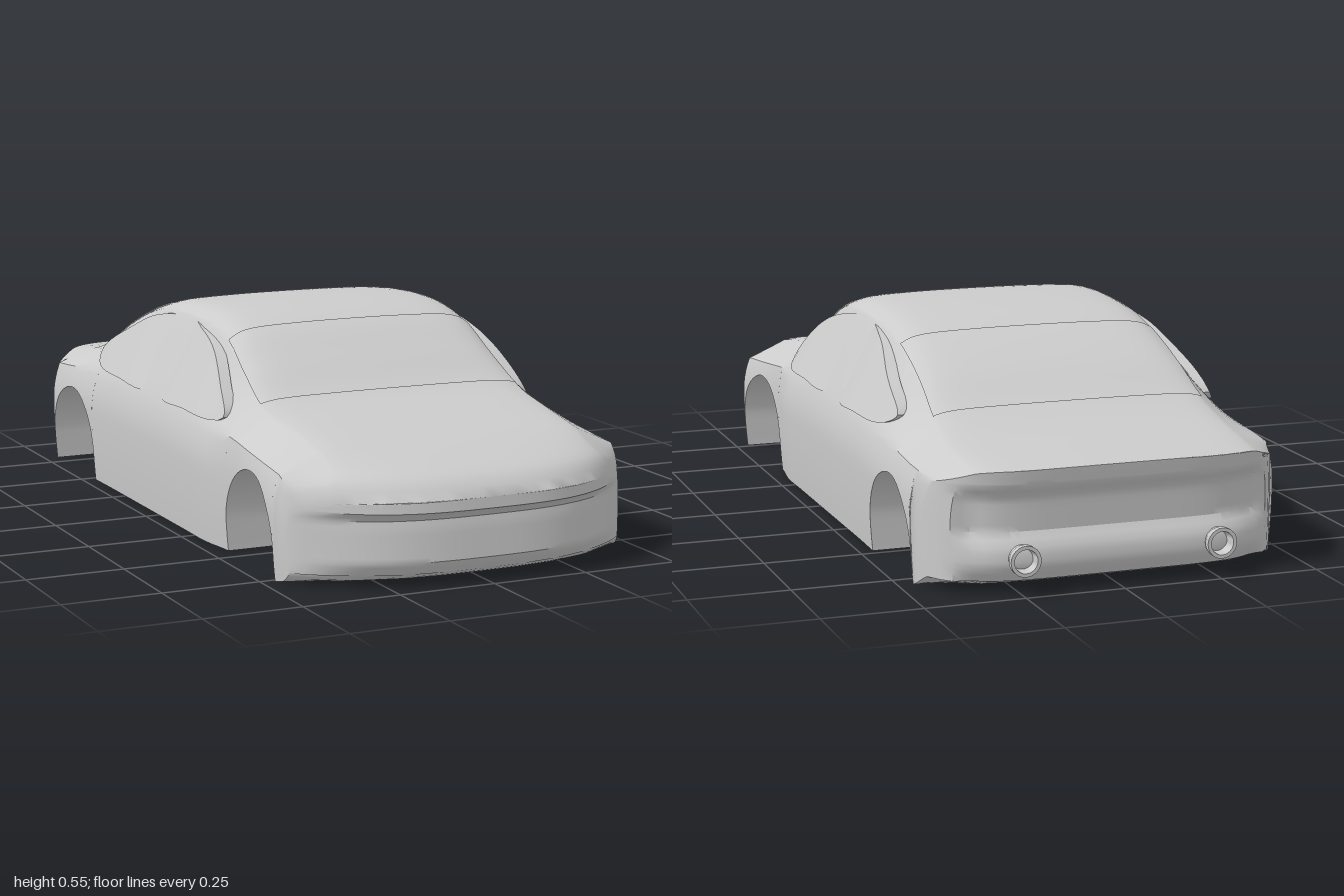
import * as THREE from 'three';
import { toCreasedNormals } from 'three/addons/utils/BufferGeometryUtils.js';

const V2 = (x, y) => new THREE.Vector2(x, y);
const material = new THREE.MeshStandardMaterial({ color: 0xcccccc, side: THREE.DoubleSide });

// Body stations: z, half width, shoulder x, shoulder y, roof edge x, roof edge y, centre height, sill height
const KEYS = [
  [1.0, 0.455, 0.44, 0.195, 0.39, 0.212, 0.222, 0.04],
  [0.97, 0.46, 0.445, 0.225, 0.385, 0.248, 0.26, 0.026],
  [0.9, 0.465, 0.45, 0.25, 0.37, 0.277, 0.29, 0.015],
  [0.76, 0.474, 0.455, 0.27, 0.37, 0.308, 0.326, 0.01],
  [0.6, 0.465, 0.45, 0.285, 0.37, 0.335, 0.354, 0.01],
  [0.45, 0.457, 0.445, 0.3, 0.375, 0.36, 0.382, 0.01],
  [0.32, 0.472, 0.45, 0.31, 0.368, 0.412, 0.462, 0.01],
  [0.2, 0.472, 0.45, 0.315, 0.36, 0.47, 0.532, 0.01],
  [0.05, 0.472, 0.45, 0.32, 0.36, 0.505, 0.562, 0.01],
  [-0.2, 0.472, 0.45, 0.32, 0.358, 0.5, 0.554, 0.01],
  [-0.35, 0.472, 0.45, 0.32, 0.358, 0.47, 0.52, 0.01],
  [-0.5, 0.474, 0.45, 0.315, 0.362, 0.42, 0.46, 0.01],
  [-0.63, 0.476, 0.453, 0.305, 0.37, 0.362, 0.388, 0.01],
  [-0.75, 0.475, 0.455, 0.295, 0.38, 0.327, 0.345, 0.01],
  [-0.9, 0.465, 0.445, 0.283, 0.375, 0.309, 0.323, 0.018],
  [-0.985, 0.45, 0.435, 0.275, 0.37, 0.3, 0.312, 0.04],
];
const WHEELS = [0.6, -0.64], WELL_Y = 0.085, WELL_R = 0.162;

// Bumper relief: [height, depth of recess]
const NOSE = [[0.04, 0.04], [0.07, 0.015], [0.15, 0.024], [0.178, 0.03], [0.194, 0], [0.23, 0.004]];
const TAIL = [[0.04, 0.03], [0.08, 0.005], [0.13, 0.012], [0.15, 0.035], [0.24, 0.03], [0.27, 0.006], [0.31, 0]];

function relief(table, y) {
  for (let i = 1; i < table.length; i++) {
    const [a, b] = [table[i - 1], table[i]];
    if (y <= b[0]) return THREE.MathUtils.mapLinear(Math.max(y, a[0]), a[0], b[0], a[1], b[1]);
  }
  return table[table.length - 1][1];
}

// Smooth interpolation of the station table
function keyAt(z) {
  const n = KEYS.length;
  let i = 0;
  while (i < n - 2 && z < KEYS[i + 1][0]) i++;
  const slope = (k, c) => {
    const a = KEYS[Math.max(k - 1, 0)], b = KEYS[Math.min(k + 1, n - 1)];
    return (b[c] - a[c]) / (b[0] - a[0]);
  };
  const a = KEYS[i], b = KEYS[i + 1], h = b[0] - a[0], t = (z - a[0]) / h;
  return a.map((v, c) => (2 * t ** 3 - 3 * t * t + 1) * v + (t ** 3 - 2 * t * t + t) * h * slope(i, c)
    + (3 * t * t - 2 * t ** 3) * b[c] + (t ** 3 - t * t) * h * slope(i + 1, c));
}

// Rounds both ends in plan and presses the bumper relief into them
function warp(x, y, z) {
  const ax = Math.abs(x);
  if (z > 0.765) {
    const w = (z - 0.765) / 0.235;
    z -= w * (0.2 * (ax / 0.46) ** 3 + relief(NOSE, y) * Math.max(0, 1 - (ax / 0.44) ** 4));
  } else if (z < -0.805) {
    const w = (-z - 0.805) / 0.18;
    z += w * (0.15 * (ax / 0.45) ** 6 + relief(TAIL, y) * (1 - THREE.MathUtils.smoothstep(ax, 0.36, 0.41)));
  }
  return [x, y, z];
}

// Upper half section, from the shoulder to the centre line
function upperCurve([, , xs, ys, xr, yr, top]) {
  const d = top - yr;
  return new THREE.SplineCurve([V2(xs, ys), V2(xr, yr), V2(xr * 0.93, yr + 0.57 * d),
    V2(xr * 0.77, yr + 0.88 * d), V2(xr * 0.4, yr + 0.98 * d), V2(0, top)]);
}

const FLOOR = [0, 0.1, 0.2, 0.3], SIDE_ROWS = 14, TOP_ROWS = 20;
function halfSection(z, bottom) {
  const key = keyAt(z), [, w, xs, ys] = key, mid = 0.65 * ys;
  const floorY = Math.max(0.025, key[7]);
  const pts = FLOOR.map((x) => V2(x, floorY));
  pts.push(V2(0.32, bottom));
  for (let k = 0; k <= SIDE_ROWS; k++) {
    const y = THREE.MathUtils.lerp(bottom, ys, k / SIDE_ROWS);
    pts.push(V2(y > mid ? w - (w - xs) * ((y - mid) / (ys - mid)) ** 2 : w - 0.01 * ((mid - y) / mid) ** 2, y));
  }
  return pts.concat(upperCurve(key).getPoints(TOP_ROWS).slice(1));
}

// Triangulates a grid of points; flip reverses the facing
function addGrid(out, rows, flip = false) {
  for (let i = 0; i + 1 < rows.length; i++) {
    for (let j = 0; j + 1 < rows[i].length; j++) {
      const a = rows[i][j], b = rows[i + 1][j], c = rows[i + 1][j + 1], d = rows[i][j + 1];
      out.push(...(flip ? [a, c, b, a, d, c] : [a, b, c, a, c, d]).flat());
    }
  }
}
function meshFrom(name, positions, crease = 0.6) {
  const geometry = new THREE.BufferGeometry();
  geometry.setAttribute('position', new THREE.Float32BufferAttribute(positions, 3));
  const mesh = new THREE.Mesh(toCreasedNormals(geometry, crease), material);
  mesh.name = name;
  return mesh;
}

function bodyShell() {
  // Stations run nose to tail, doubled where a wheel well starts and ends
  const stations = [];
  const run = (from, to, n) => {
    for (let i = 0; i <= n; i++) {
      const z = THREE.MathUtils.lerp(from, to, i / n);
      stations.push([z, keyAt(z)[7]]);
    }
  };
  const arch = (cz) => {
    for (let i = 0; i <= 24; i++) {
      const t = Math.PI * i / 24;
      stations.push([cz + WELL_R * Math.cos(t), WELL_Y + WELL_R * Math.sin(t)]);
    }
  };
  run(1, WHEELS[0] + WELL_R, 14);
  arch(WHEELS[0]);
  run(WHEELS[0] - WELL_R, WHEELS[1] + WELL_R, 36);
  arch(WHEELS[1]);
  run(WHEELS[1] - WELL_R, -0.985, 12);

  const out = [];
  addGrid(out, stations.map(([z, bottom]) => {
    const half = halfSection(z, bottom);
    const mirrored = half.slice(0, -1).reverse().map((p) => V2(-p.x, p.y));
    return half.concat(mirrored).map((p) => warp(p.x, p.y, z));
  }));
  // Nose and tail faces
  for (const [z, bottom] of [stations[0], stations[stations.length - 1]]) {
    const rows = halfSection(z, bottom).slice(FLOOR.length + 1).map((p) =>
      Array.from({ length: 41 }, (_, k) => warp(p.x * (k / 20 - 1), p.y, z)));
    addGrid(out, rows, z > 0);
  }
  return meshFrom('body', out);
}

// Front or rear glass laid just over the body
function screen(name, z0, z1, start) {
  const rows = [], lean = Math.sign(z0) * 0.002;
  for (let i = 0; i <= 12; i++) {
    const z = THREE.MathUtils.lerp(z0, z1, i / 12), curve = upperCurve(keyAt(z));
    const row = [];
    for (let k = -16; k <= 16; k++) {
      const p = curve.getPoint(1 - (1 - start) * Math.abs(k) / 16);
      row.push([-Math.sign(k) * p.x, p.y + 0.003, z + lean]);
    }
    rows.push(row);
  }
  const out = [];
  addGrid(out, rows);
  return meshFrom(name, out, 1);
}

// Side glass: a plate leaning with the cabin and curving in at its ends
function sideWindow(name, outline, side) {
  const zs = outline.map((p) => p[0]);
  const mid = (Math.max(...zs) + Math.min(...zs)) / 2, reach = (Math.max(...zs) - Math.min(...zs)) / 2;
  const loop = new THREE.CatmullRomCurve3(outline.map(([z, y]) => new THREE.Vector3(z, y, 0)), true, 'centripetal');
  const edge = loop.getPoints(48).slice(0, -1);
  const at = (p, depth) => {
    const x = 0.457 - 0.5 * (p.y - 0.33) - 0.022 * Math.abs((p.x - mid) / reach) ** 3 - depth;
    return [side * x, p.y, p.x];
  };
  const centre = new THREE.Vector3(mid, 0.4, 0);
  const rings = [0.03, 0].map((depth) => [...edge, edge[0]].map((p) => at(p, depth)));
  for (let s = 5; s >= 0; s--) rings.push([...edge, edge[0]].map((p) => at(centre.clone().lerp(p, s / 6), 0)));
  const out = [];
  addGrid(out, rings, side < 0);
  return meshFrom(name, out, 0.6);
}

function exhaust(x) {
  const profile = [V2(0.03, 0), V2(0.033, 0.07), V2(0.038, 0.085), V2(0.038, 0.1), V2(0.029, 0.1), V2(0.024, 0.06), V2(0, 0.06)];
  const mesh = new THREE.Mesh(toCreasedNormals(new THREE.LatheGeometry(profile, 24), 0.6), material);
  mesh.rotation.x = -Math.PI / 2;
  mesh.position.set(x, 0.098, -0.9);
  mesh.name = 'exhaust';
  return mesh;
}

export function createModel() {
  const car = new THREE.Group();
  car.name = 'car';
  car.add(bodyShell(), screen('windshield', 0.44, 0.2, 0.3), screen('rearWindow', -0.33, -0.63, 0.3));
  const front = [[0.37, 0.335], [0.3, 0.41], [0.2, 0.475], [0.08, 0.51], [-0.03, 0.515], [-0.045, 0.42], [-0.04, 0.335], [0.16, 0.325]];
  const rear = [[-0.1, 0.335], [-0.105, 0.43], [-0.11, 0.51], [-0.24, 0.505], [-0.38, 0.45], [-0.54, 0.365], [-0.5, 0.34], [-0.3, 0.328]];
  for (const side of [1, -1]) {
    car.add(sideWindow('frontSideWindow', front, side), sideWindow('rearSideWindow', rear, side), exhaust(side * 0.25));
  }
  return car;
}
